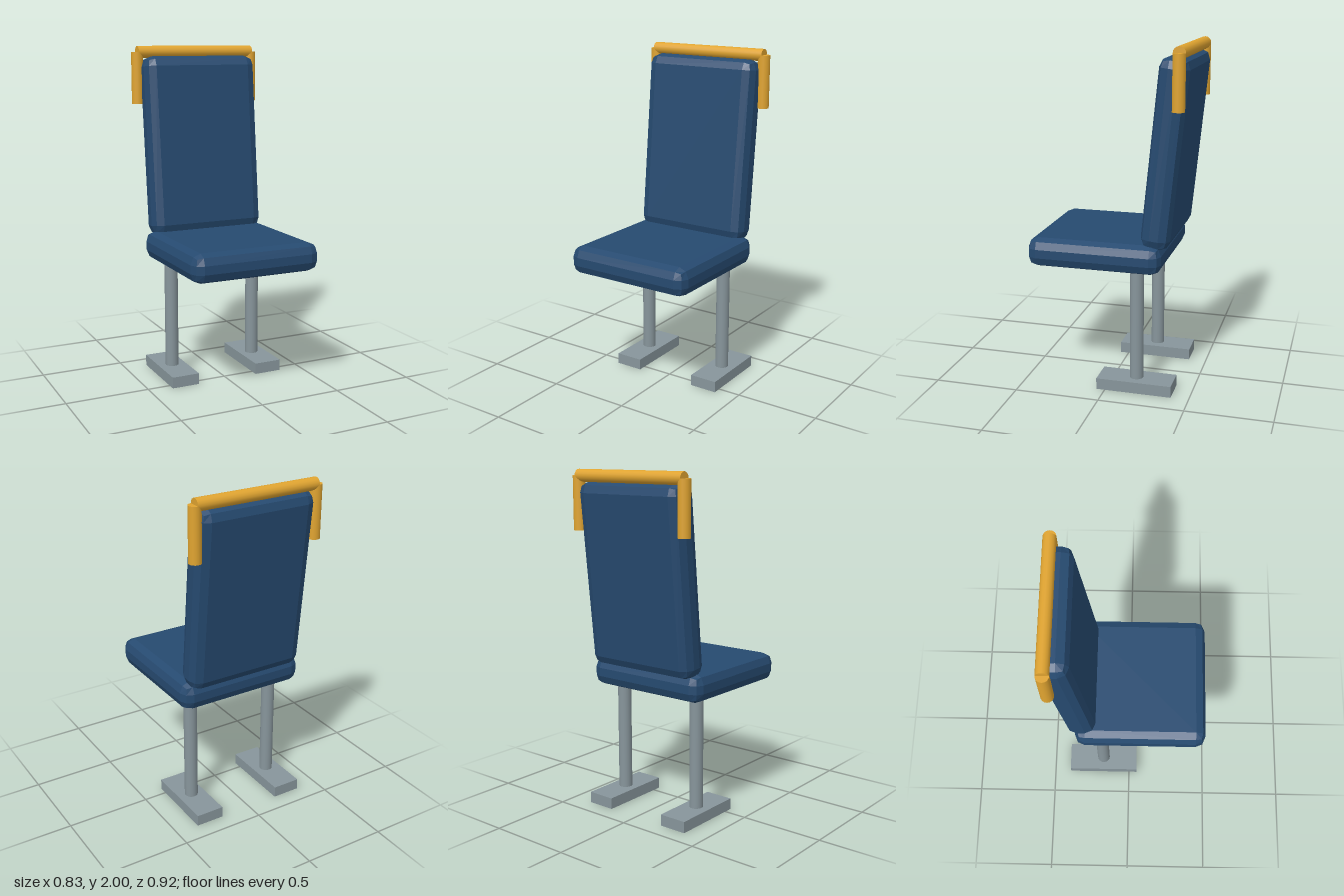
import * as THREE from 'three';

const upholstery = new THREE.MeshStandardMaterial({ color: 0x264a70, flatShading: true });
upholstery.name = 'blue upholstery';
const yellow = new THREE.MeshStandardMaterial({ color: 0xe0a430 });
yellow.name = 'yellow rail';
const steel = new THREE.MeshStandardMaterial({ color: 0x87959b });
steel.name = 'grey steel';

// Box whose edges are rounded in two facets: each outer grid vertex moves onto a corner ball
function cushionGeometry(w, h, d, r) {
  const geo = new THREE.BoxGeometry(3, 3, 3, 3, 3, 3);
  const pos = geo.attributes.position;
  const half = new THREE.Vector3(w / 2 - r, h / 2 - r, d / 2 - r);
  const p = new THREE.Vector3();
  for (let i = 0; i < pos.count; i++) {
    p.fromBufferAttribute(pos, i);
    const core = new THREE.Vector3(Math.sign(p.x), Math.sign(p.y), Math.sign(p.z)).multiply(half);
    const dir = new THREE.Vector3(...p.toArray().map((v) => (Math.abs(v) > 1 ? Math.sign(v) : 0)));
    core.addScaledVector(dir.normalize(), r);
    pos.setXYZ(i, core.x, core.y, core.z);
  }
  geo.computeVertexNormals();
  return geo;
}

export function createModel() {
  const group = new THREE.Group();
  const add = (name, geo, mat, x, y, z) => {
    const mesh = new THREE.Mesh(geo, mat);
    mesh.name = name;
    mesh.position.set(x, y, z);
    group.add(mesh);
    return mesh;
  };

  // Seat and reclined backrest
  add('seat', cushionGeometry(0.79, 0.17, 0.785, 0.06), upholstery, 0, 0.81, 0.068);
  const back = add('backrest', cushionGeometry(0.725, 1.075, 0.17, 0.06), upholstery, 0, 1.402, -0.331);
  back.rotation.x = -0.1;

  // Grab rail over the backrest
  const rail = add('topRail', new THREE.CylinderGeometry(0.036, 0.036, 0.757, 16), yellow, 0, 1.964, -0.418);
  rail.rotation.z = Math.PI / 2;

  // Rail posts, legs and feet on both sides
  for (const [side, s] of [['left', 1], ['right', -1]]) {
    add(side + 'RailPost', new THREE.CylinderGeometry(0.036, 0.036, 0.308, 16), yellow, s * 0.378, 1.81, -0.418);
    add(side + 'Leg', new THREE.CylinderGeometry(0.04, 0.04, 0.72, 16), steel, s * 0.275, 0.41, -0.172);
    add(side + 'Foot', new THREE.BoxGeometry(0.17, 0.067, 0.445), steel, s * 0.277, 0.0335, -0.172);
  }
  return group;
}
